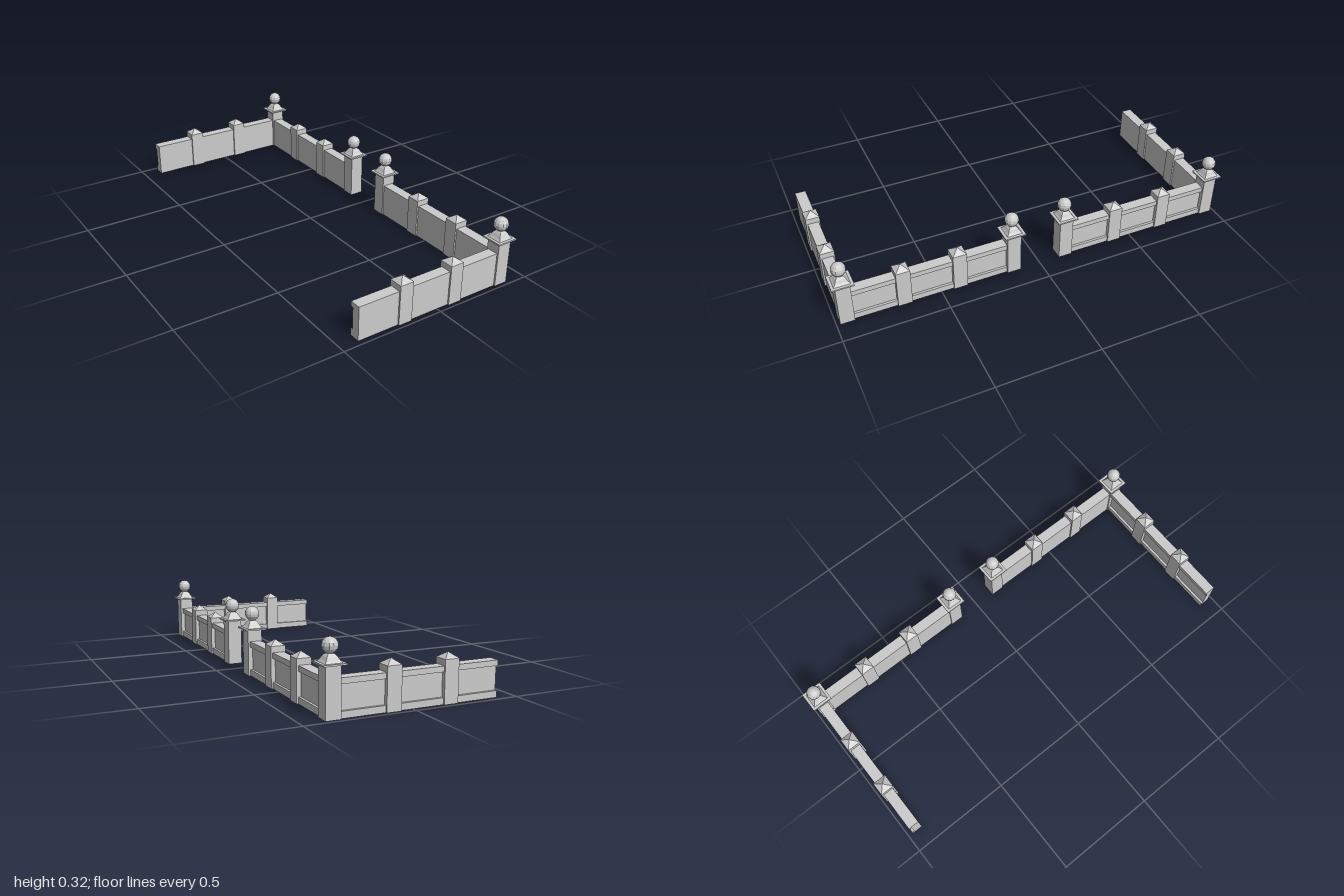
import * as THREE from 'three';

const mat = new THREE.MeshStandardMaterial({ color: 0xcccccc, flatShading: true });

function add(parent, name, geometry, x = 0, y = 0, z = 0) {
  const mesh = new THREE.Mesh(geometry, mat);
  mesh.name = name;
  mesh.position.set(x, y, z);
  parent.add(mesh);
  return mesh;
}

// Square-plan solid from [half width, height] pairs, bottom to top
function squareTurned(profile) {
  const pts = profile.map(([w, y]) => new THREE.Vector2(w * Math.SQRT2, y));
  return new THREE.LatheGeometry(pts, 4).rotateY(Math.PI / 4);
}

// Wall along local x, flat on +z, recessed panel between band and plinth on -z
function wallGeometry(length) {
  const w = 0.0265, r = 0.0145, h = 0.163;
  const section = new THREE.Shape([
    [w, 0], [w, h], [-w, h], [-w, 0.138], [-r, 0.138], [-r, 0.03], [-w, 0.03], [-w, 0],
  ].map(([z, y]) => new THREE.Vector2(z, y)));
  return new THREE.ExtrudeGeometry(section, { depth: length, bevelEnabled: false })
    .translate(0, 0, -length / 2)
    .rotateY(-Math.PI / 2);
}

const POST = 0.068;

// Low pier with a pyramid top
function smallPost(x, z) {
  const g = new THREE.Group();
  g.name = 'smallPost';
  g.position.set(x, 0, z);
  add(g, 'smallPostShaft', new THREE.BoxGeometry(POST, 0.191, POST), 0, 0.0955, 0);
  add(g, 'smallPostCap', squareTurned([[POST / 2, 0.191], [0, 0.216]]));
  return g;
}

// Tall pier with slab, flared pedestal and ball
function ballPost(x, z) {
  const g = new THREE.Group();
  g.name = 'ballPost';
  g.position.set(x, 0, z);
  add(g, 'ballPostShaft', new THREE.BoxGeometry(POST, 0.218, POST), 0, 0.109, 0);
  add(g, 'capSlab', new THREE.BoxGeometry(0.102, 0.007, 0.102), 0, 0.2205, 0);
  add(g, 'ballPedestal', squareTurned([
    [0.038, 0.224], [0.03, 0.234], [0.023, 0.247], [0.015, 0.257], [0, 0.262],
  ]));
  add(g, 'ball', new THREE.SphereGeometry(0.034, 12, 8), 0, 0.29, 0);
  return g;
}

export function createModel() {
  const model = new THREE.Group();
  model.name = 'gatewayWall';
  const X = 0.364, Z = 0.949, GATE = 0.136, END = -0.414;
  const step = (Z - GATE) / 3;

  for (const s of [1, -1]) {
    // Wall beside the gate opening, panel towards +x
    const front = add(model, 'gateWall', wallGeometry(Z - GATE), X - 0.002, 0, s * (Z + GATE) / 2);
    front.rotation.y = -Math.PI / 2;
    // Side wing, panel towards -z
    add(model, 'wingWall', wallGeometry(X - END), (X + END) / 2, 0, s * Z);

    model.add(ballPost(X, s * Z), ballPost(X, s * GATE));
    for (const i of [1, 2]) {
      model.add(smallPost(X - 0.002, s * (Z - i * step)));
      model.add(smallPost(X - i * step, s * Z));
    }
  }
  return model;
}
